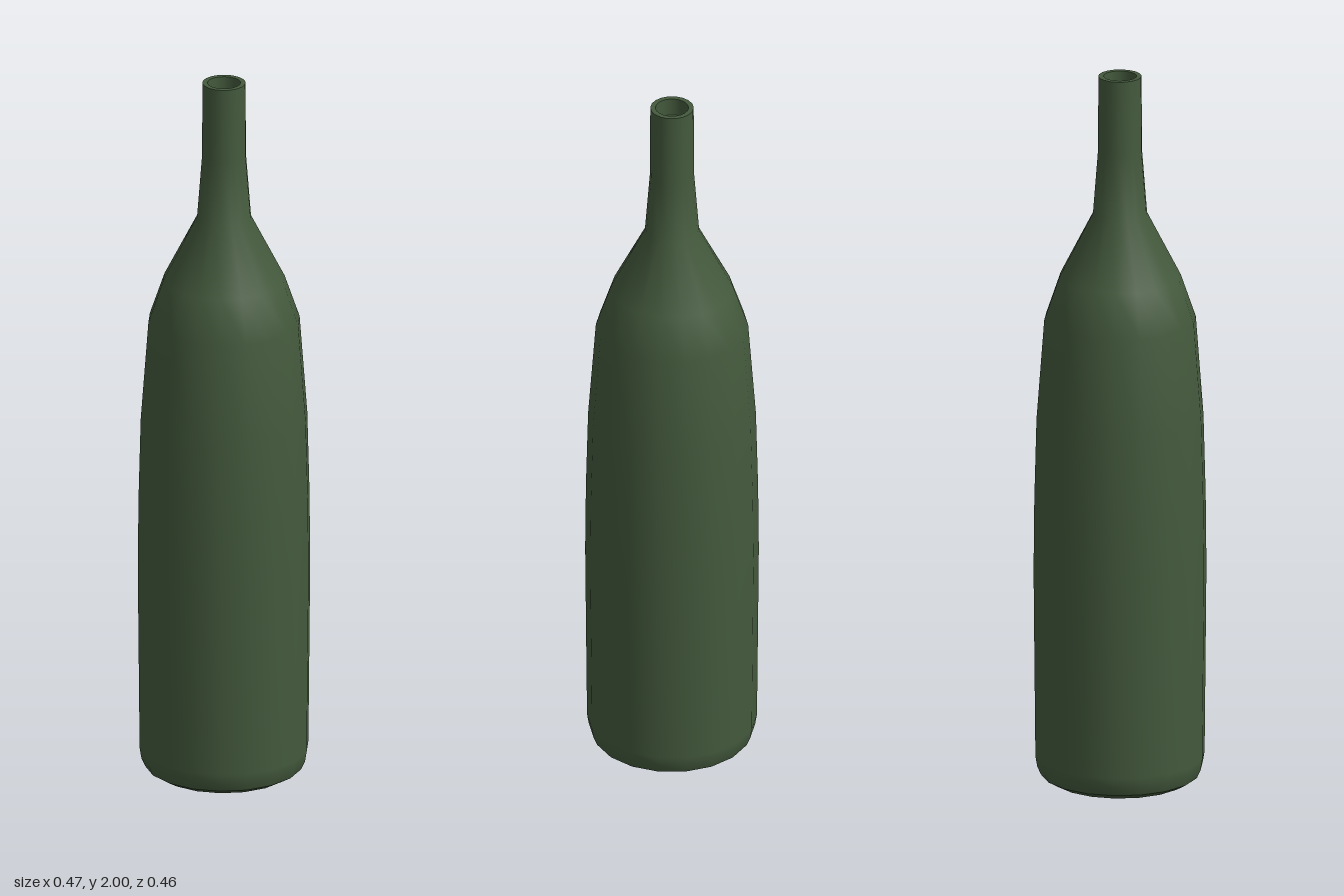
import * as THREE from 'three';

const SIDES = 18;

export function createModel() {
  const group = new THREE.Group();
  group.name = 'bottle';
  const glass = new THREE.MeshStandardMaterial({ color: 0x445a3d });
  glass.name = 'dark green glass';

  // Each part is its own lathe, so edges between parts stay sharp
  const turn = (name, profile) => {
    const points = profile.map(([r, y]) => new THREE.Vector2(r, y));
    const geometry = new THREE.LatheGeometry(points, SIDES);
    geometry.rotateY(Math.PI / 2);
    const mesh = new THREE.Mesh(geometry, glass);
    mesh.name = name;
    group.add(mesh);
  };

  // Underside and its bevel
  turn('base', [[0, 0], [0.187, 0]]);
  turn('baseBevel', [[0.187, 0], [0.216, 0.017]]);

  // Swelling body, shoulder and slim neck
  turn('body', [
    [0.216, 0.017], [0.226, 0.04], [0.231, 0.07], [0.234, 0.38],
    [0.236, 0.6], [0.234, 0.8], [0.228, 1.03], [0.207, 1.31],
    [0.166, 1.43], [0.074, 1.61], [0.06, 1.79], [0.059, 2],
  ]);

  // Mouth: flat lip, inner wall and recessed floor
  turn('lip', [[0.059, 2], [0.045, 2]]);
  turn('mouthWall', [[0.045, 2], [0.045, 1.95]]);
  turn('mouthFloor', [[0.045, 1.95], [0, 1.95]]);

  return group;
}
